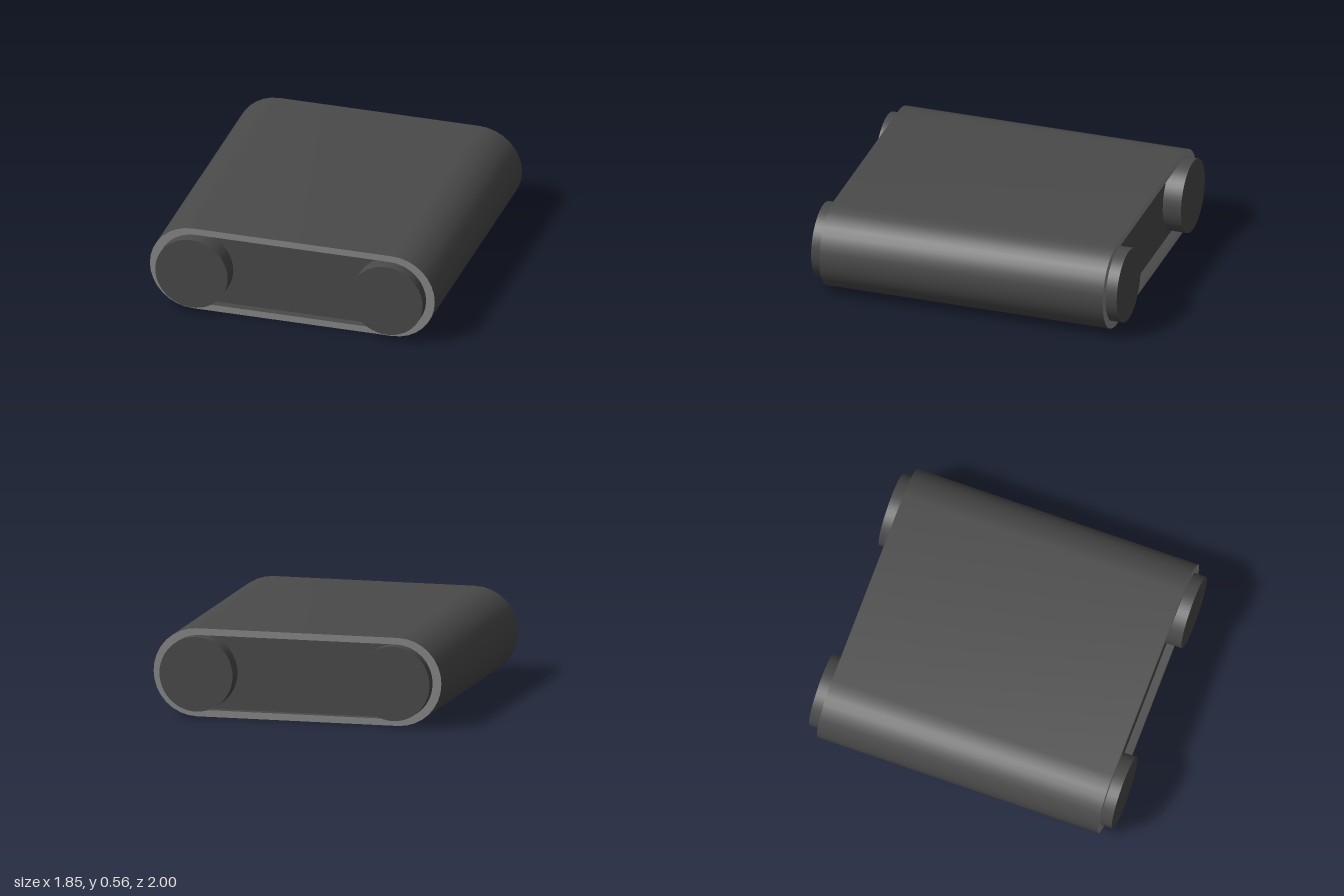
import * as THREE from 'three';
import { toCreasedNormals } from 'three/addons/utils/BufferGeometryUtils.js';

const MID_Y = 0.278;

// Stadium outline: two half circles of radius r centred at x = +-cx
function stadium(PathType, cx, r) {
  const p = new PathType();
  p.absarc(cx, 0, r, -Math.PI / 2, Math.PI / 2, false);
  p.absarc(-cx, 0, r, Math.PI / 2, Math.PI * 1.5, false);
  p.closePath();
  return p;
}

export function createModel() {
  const group = new THREE.Group();
  const dark = new THREE.MeshStandardMaterial({ color: 0x4a4a4a });
  const edge = new THREE.MeshStandardMaterial({ color: 0x888888 });

  const add = (name, geometry, material, x, y, z) => {
    const mesh = new THREE.Mesh(geometry, material);
    mesh.name = name;
    mesh.position.set(x, y, z);
    group.add(mesh);
  };

  // Belt: a wide loop with lighter cut edges
  const outline = stadium(THREE.Shape, 0.647, 0.278);
  outline.holes.push(stadium(THREE.Path, 0.633, 0.236));
  const depth = 1.854;
  const belt = new THREE.ExtrudeGeometry(outline, { depth, bevelEnabled: false, curveSegments: 8 });
  add('belt', toCreasedNormals(belt, 0.6), [edge, dark], 0, MID_Y, -depth / 2);

  // Rollers reaching past both belt edges
  const roller = new THREE.CylinderGeometry(0.235, 0.235, 2, 48).rotateX(Math.PI / 2);
  add('leftRoller', roller, dark, 0.633, MID_Y, 0);
  add('rightRoller', roller, dark, -0.633, MID_Y, 0);

  // Bed between the rollers, set back from the belt edges
  add('bed', new THREE.BoxGeometry(1.266, 0.468, 1.76), dark, 0, MID_Y, 0);

  return group;
}
